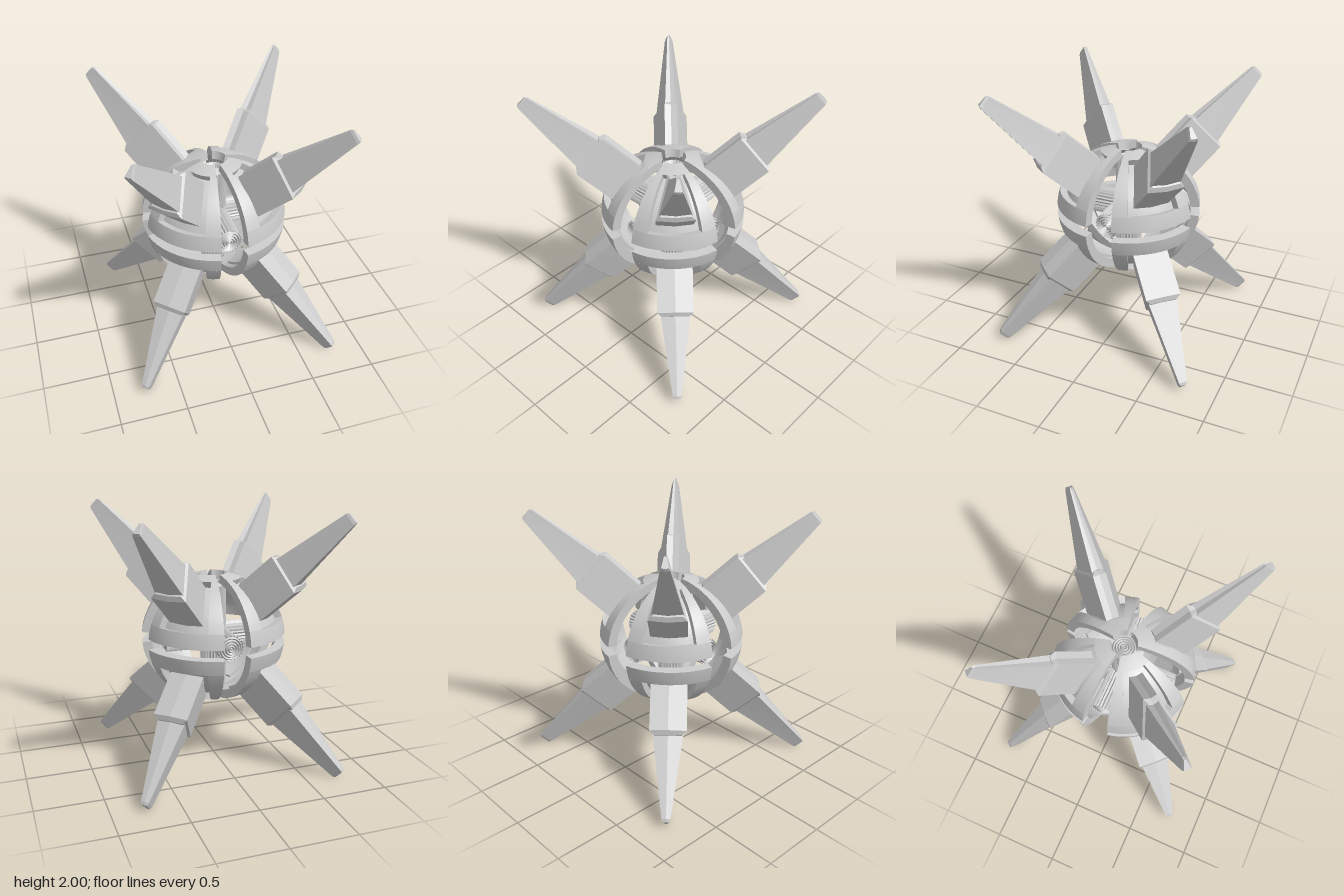
import * as THREE from 'three';
import { toCreasedNormals } from 'three/addons/utils/BufferGeometryUtils.js';

const material = new THREE.MeshStandardMaterial({ color: 0xcccccc });
const deg = Math.PI / 180;
const FLATTEN = 0.9; // the shell is a little squashed in height
const ELEVATION = 0.741; // tilt of the spikes above the horizon

function addMesh(parent, geometry, name, crease = 0.45) {
  const mesh = new THREE.Mesh(toCreasedNormals(geometry, crease), material);
  mesh.name = name;
  parent.add(mesh);
  return mesh;
}

// Moves every vertex of a geometry by a rule
function warp(geometry, rule) {
  const pos = geometry.attributes.position;
  const p = new THREE.Vector3();
  for (let i = 0; i < pos.count; i++) {
    p.fromBufferAttribute(pos, i);
    rule(p);
    pos.setXYZ(i, p.x, p.y, p.z);
  }
  return geometry;
}

// Curved block between two longitudes, two latitudes (degrees) and two radii
function shellBlock(lon0, lon1, lat0, lat1, r0, r1) {
  const nLon = Math.max(2, Math.round((lon1 - lon0) / 7));
  const nLat = Math.max(2, Math.round((lat1 - lat0) / 7));
  return warp(new THREE.BoxGeometry(1, 1, 1, nLon, nLat, 1), (p) => {
    const lon = THREE.MathUtils.lerp(lon0, lon1, p.x + 0.5) * deg;
    const lat = THREE.MathUtils.lerp(lat0, lat1, p.y + 0.5) * deg;
    const r = THREE.MathUtils.lerp(r0, r1, p.z + 0.5);
    p.set(
      r * Math.cos(lat) * Math.sin(lon),
      r * Math.sin(lat) * FLATTEN,
      r * Math.cos(lat) * Math.cos(lon)
    );
  });
}

// Chamfered prism with a wide lower edge and a narrow upper edge
function prism(wide, narrow, half, start, end, bevel) {
  const shape = new THREE.Shape([
    new THREE.Vector2(-wide, -half),
    new THREE.Vector2(0, -half - 0.012),
    new THREE.Vector2(wide, -half),
    new THREE.Vector2(narrow, half),
    new THREE.Vector2(0, half - 0.012),
    new THREE.Vector2(-narrow, half),
  ]);
  const geometry = new THREE.ExtrudeGeometry(shape, {
    depth: end - start,
    bevelEnabled: true,
    bevelSegments: 1,
    bevelThickness: bevel,
    bevelSize: bevel,
    bevelOffset: -bevel,
  });
  return geometry.translate(0, 0, start);
}

// One eighth of the ball: framed shell, recessed panel and two-stage spike
function makeOctant() {
  const octant = new THREE.Group();
  octant.name = 'shellSegment';
  const inner = 0.485, outer = 0.557;
  addMesh(octant, shellBlock(10.5, 79.5, 4.6, 18, inner, outer), 'frameBase');
  addMesh(octant, shellBlock(10.5, 79.5, 67.5, 79.6, inner, outer), 'frameTop');
  addMesh(octant, shellBlock(10.5, 23, 18, 67.5, inner, outer), 'frameSide');
  addMesh(octant, shellBlock(67, 79.5, 18, 67.5, inner, outer), 'frameSide');
  addMesh(octant, shellBlock(23, 67, 18, 67.5, 0.465, 0.5), 'recessedPanel');

  const spike = new THREE.Group();
  spike.name = 'spike';
  spike.rotation.set(-ELEVATION, Math.PI / 4, 0, 'YXZ');
  octant.add(spike);
  addMesh(spike, prism(0.136, 0.05, 0.157, 0.46, 0.81, 0.028), 'spikeSocket', 0.15);
  const start = 0.8, end = 1.42;
  const blade = warp(prism(0.115, 0.045, 0.123, start, end, 0.02), (p) => {
    const t = (p.z - start) / (end - start);
    p.x *= THREE.MathUtils.lerp(1, 0.28, t);
    p.y *= THREE.MathUtils.lerp(1, 0.4, t);
  });
  addMesh(spike, blade, 'spikeBlade', 0.15);
  return octant;
}

// Fluted rod with concentric ridges on its domed ends
function makeRod() {
  const radius = 0.1, rings = 10;
  const end = [];
  for (let i = 0; i <= rings; i++) {
    const r = (radius * i) / rings;
    end.push(new THREE.Vector2(r, 0.42 - 2 * r * r - (i % 2 ? 0.014 : 0)));
  }
  const lower = end.map((p) => new THREE.Vector2(p.x, -p.y));
  const geometry = new THREE.LatheGeometry([...lower, ...end.reverse()], 48);
  // flutes: every second column of the outer wall is pulled in
  return warp(geometry, (p) => {
    const r = Math.hypot(p.x, p.z);
    const column = Math.round((Math.atan2(p.z, p.x) / (2 * Math.PI)) * 48);
    if (r > radius * 0.95 && column % 2) {
      p.x *= 0.9;
      p.z *= 0.9;
    }
  });
}

export function createModel() {
  const model = new THREE.Group();
  model.name = 'spikedBall';
  const ball = new THREE.Group();
  ball.name = 'ball';
  ball.position.y = 1;
  model.add(ball);

  // Core: three crossed rods
  const core = new THREE.Group();
  core.name = 'core';
  ball.add(core);
  addMesh(core, makeRod(), 'coreRodVertical', 0.2);
  addMesh(core, makeRod(), 'coreRodAcross', 0.2).rotation.z = Math.PI / 2;
  addMesh(core, makeRod(), 'coreRodDeep', 0.2).rotation.x = Math.PI / 2;

  // Eight segments: four upper, and four turned over for the lower half
  for (const flip of [0, Math.PI]) {
    const half = new THREE.Group();
    half.name = flip ? 'lowerHalf' : 'upperHalf';
    half.rotation.x = flip;
    const octant = makeOctant();
    for (let i = 0; i < 4; i++) {
      const copy = octant.clone();
      copy.rotation.y = (i * Math.PI) / 2;
      half.add(copy);
    }
    ball.add(half);
  }
  return model;
}
